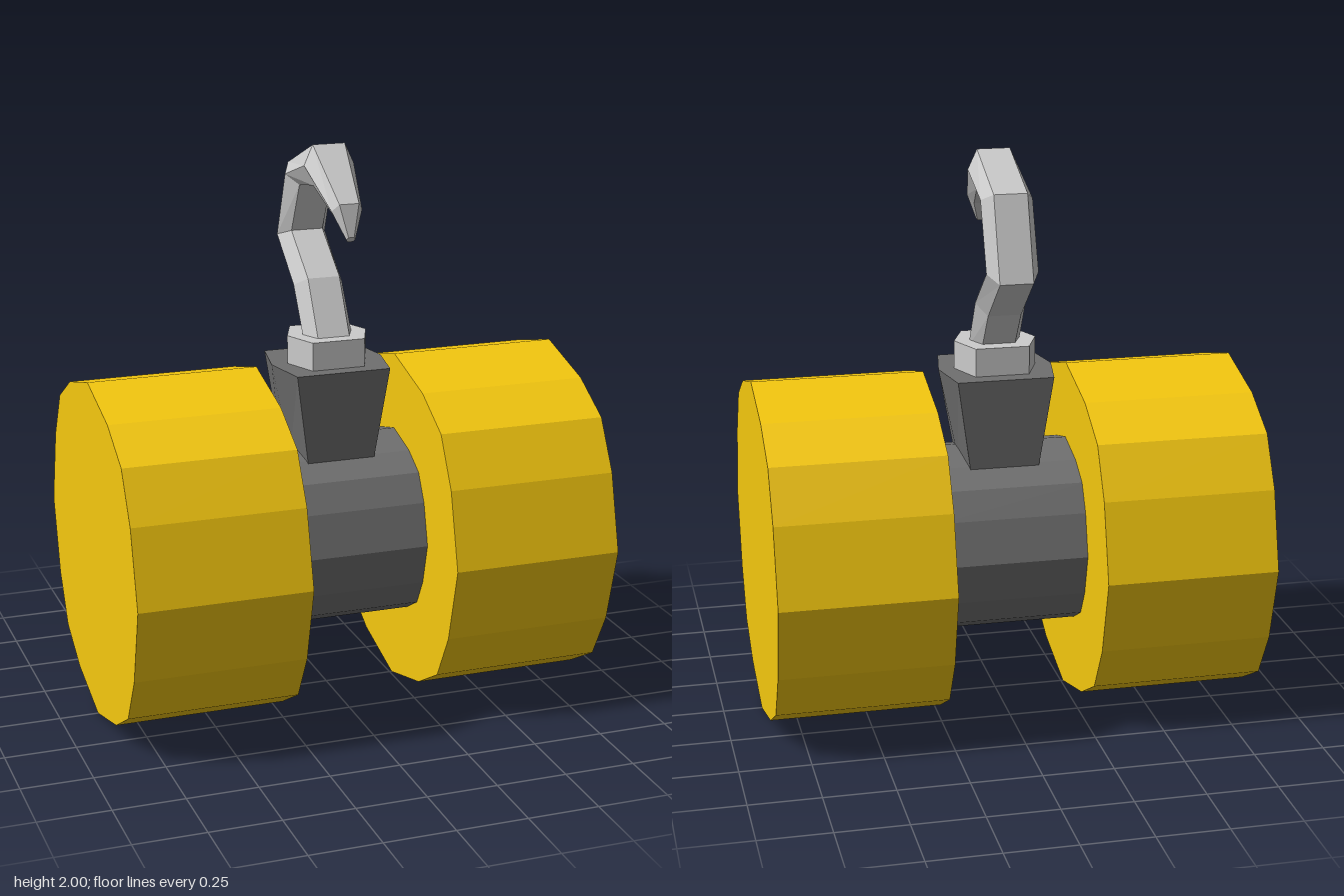
import * as THREE from 'three';

const yellow = new THREE.MeshStandardMaterial({ color: 0xf5c80f, flatShading: true });
const darkGrey = new THREE.MeshStandardMaterial({ color: 0x707070, flatShading: true });
const grey = new THREE.MeshStandardMaterial({ color: 0xcccccc, flatShading: true });

// Skin a list of equal-length rings (counterclockwise seen from the far end) and cap both ends
function loft(rings) {
  const pos = [];
  const tri = (a, b, c) => pos.push(...a, ...b, ...c);
  const n = rings[0].length;
  for (let r = 0; r < rings.length - 1; r++) {
    for (let i = 0; i < n; i++) {
      const j = (i + 1) % n;
      const a = rings[r], b = rings[r + 1];
      tri(a[i], a[j], b[j]);
      tri(a[i], b[j], b[i]);
    }
  }
  const first = rings[0], last = rings[rings.length - 1];
  for (let i = 1; i < n - 1; i++) {
    tri(first[0], first[i + 1], first[i]);
    tri(last[0], last[i], last[i + 1]);
  }
  const geometry = new THREE.BufferGeometry();
  geometry.setAttribute('position', new THREE.Float32BufferAttribute(pos, 3));
  geometry.computeVertexNormals();
  return geometry;
}

// Six-sided ring between an inner and an outer [z, y] point
function hexRing([zi, yi], [zo, yo], edge, middle) {
  const zm = (zi + zo) / 2, ym = (yi + yo) / 2;
  return [
    [edge, yi, zi], [middle, ym, zm], [edge, yo, zo],
    [-edge, yo, zo], [-middle, ym, zm], [-edge, yi, zi],
  ];
}

// Horizontal sixteen-sided drum with slightly uneven sides
function drum(scale, length) {
  const quarter = [[0.613, 0], [0.54, 0.272], [0.443, 0.445], [0.27, 0.543]];
  const points = [];
  for (let q = 0; q < 4; q++) {
    for (const [x, y] of quarter) {
      // odd quarters walk the same corners mirrored
      points.push(new THREE.Vector2(x * scale, y * scale)
        .rotateAround(new THREE.Vector2(), q * Math.PI / 2));
    }
  }
  const geometry = new THREE.ExtrudeGeometry(new THREE.Shape(points), { depth: length, bevelEnabled: false });
  geometry.translate(0, 0, -length / 2);
  geometry.rotateY(Math.PI / 2);
  return geometry;
}

export function createModel() {
  const model = new THREE.Group();
  model.name = 'hookedDoubleDrum';
  const add = (name, geometry, material, x = 0, y = 0) => {
    const mesh = new THREE.Mesh(geometry, material);
    mesh.name = name;
    mesh.position.set(x, y, 0);
    model.add(mesh);
  };

  // Two drums joined by a narrower axle
  for (const [name, side] of [['leftDrum', 1], ['rightDrum', -1]]) {
    add(name, drum(1, 0.604), yellow, side * 0.56, 0.614);
  }
  add('axle', drum(0.55, 0.54), darkGrey, 0, 0.614);

  // Bracket flaring upward from the axle
  add('bracket', loft([
    hexRing([0.16, 0.9], [-0.16, 0.9], 0.122, 0.135),
    hexRing([0.187, 1.23], [-0.183, 1.23], 0.17, 0.203),
  ]), darkGrey);

  // Hexagonal collar
  add('collar', loft([1.2, 1.33].map((y) => hexRing([0.132, y], [-0.122, y], 0.095, 0.146))), grey);

  // Hook: inner [z, y], outer [z, y], half width of the flats, half width at the middle
  const sections = [
    [[0.096, 1.3], [-0.043, 1.3], 0.058, 0.09],
    [[-0.026, 1.52], [-0.153, 1.453], 0.058, 0.09],
    [[-0.206, 1.655], [-0.34, 1.607], 0.058, 0.09],
    [[-0.116, 1.835], [-0.243, 1.894], 0.058, 0.09],
    [[0.03, 1.86], [0.026, 2.0], 0.058, 0.09],
    [[0.185, 1.777], [0.233, 1.83], 0.035, 0.055],
    [[0.243, 1.703], [0.255, 1.72], 0.01, 0.016],
  ];
  add('hook', loft(sections.map((s) => hexRing(...s))), grey);

  return model;
}
